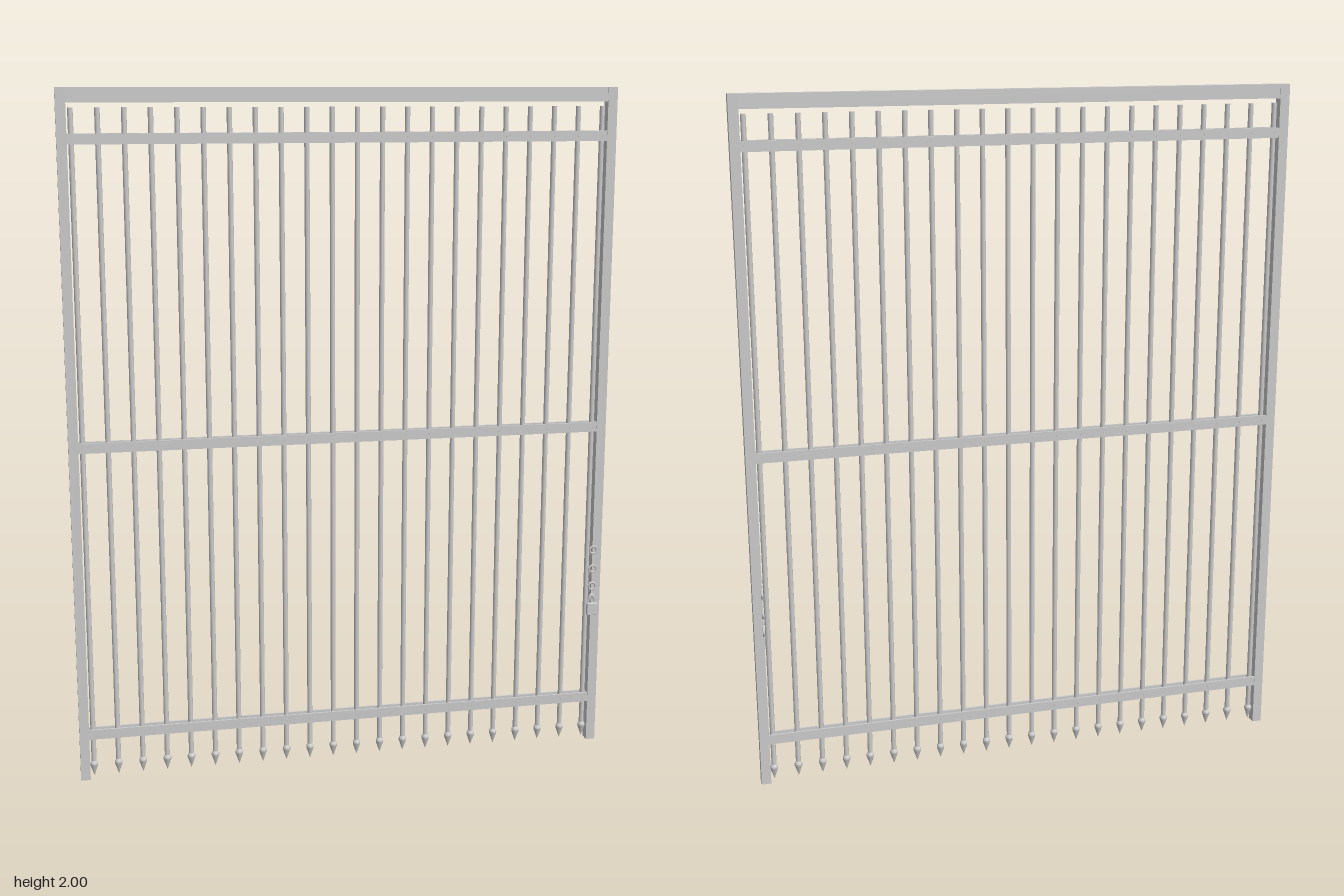
import * as THREE from 'three';
import { RoundedBoxGeometry } from 'three/addons/geometries/RoundedBoxGeometry.js';

const material = new THREE.MeshStandardMaterial({ color: 0xcccccc });
const Z = -0.003; // middle plane of the gate

export function createModel() {
  const gate = new THREE.Group();
  gate.name = 'gate';

  function add(name, geometry, x, y, z, parent = gate) {
    const mesh = new THREE.Mesh(geometry, material);
    mesh.name = name;
    mesh.position.set(x, y, z);
    parent.add(mesh);
    return mesh;
  }

  // Outer frame: two posts and a top beam
  for (const side of [-1, 1]) {
    add(side > 0 ? 'leftPost' : 'rightPost', new THREE.BoxGeometry(0.028, 2, 0.03), side * 0.783, 1, Z);
  }
  add('topBeam', new THREE.BoxGeometry(1.54, 0.04, 0.026), 0, 1.98, Z);

  // Rails: pairs of flat strips sandwiching the bars
  const railHeights = [0.141, 1.004, 1.863];
  const strip = new THREE.BoxGeometry(1.54, 0.029, 0.006);
  for (const y of railHeights) {
    for (const side of [-1, 1]) add('rail', strip, 0, y, Z + side * 0.011);
  }

  // Vertical bars with downward spear tips, riveted to each rail
  const count = 22;
  const bar = new THREE.CylinderGeometry(0.0075, 0.0075, 1.895, 12);
  const tip = new THREE.LatheGeometry([
    [0, 0.008], [0.0115, 0.042], [0.0115, 0.048], [0.007, 0.056], [0, 0.056],
  ].map(([r, y]) => new THREE.Vector2(r, y)), 12);
  const rivet = new THREE.CylinderGeometry(0.003, 0.003, 0.034, 8);
  rivet.rotateX(Math.PI / 2);
  for (let i = 0; i < count; i++) {
    const x = -0.757 + (1.514 * i) / (count - 1);
    const picket = new THREE.Group();
    picket.name = 'picket';
    picket.position.set(x, 0, Z);
    add('bar', bar, 0, 0.9995, 0, picket);
    add('spearTip', tip, 0, 0, 0, picket);
    for (const y of railHeights) add('rivet', rivet, 0, y, 0, picket);
    gate.add(picket);
  }

  // Chain links on both faces of the left post
  const chain = new THREE.Group();
  chain.name = 'chain';
  gate.add(chain);
  const link = new THREE.TorusGeometry(0.011, 0.003, 8, 16);
  for (const y of [0.62, 0.56, 0.505]) {
    add('frontLink', link, 0.77, y, 0.015, chain);
    add('backLink', link, 0.77, y - 0.022, -0.016, chain).rotation.y = Math.PI / 2;
  }

  // Padlock hanging from the chain
  const padlock = new THREE.Group();
  padlock.name = 'padlock';
  gate.add(padlock);
  add('lockBody', new RoundedBoxGeometry(0.033, 0.039, 0.011, 2, 0.002), 0.769, 0.434, 0.0235, padlock);
  const shackle = new THREE.TorusGeometry(0.01, 0.003, 8, 16, Math.PI);
  shackle.scale(1, 2.4, 1);
  add('shackle', shackle, 0.769, 0.452, 0.018, padlock);

  return gate;
}
